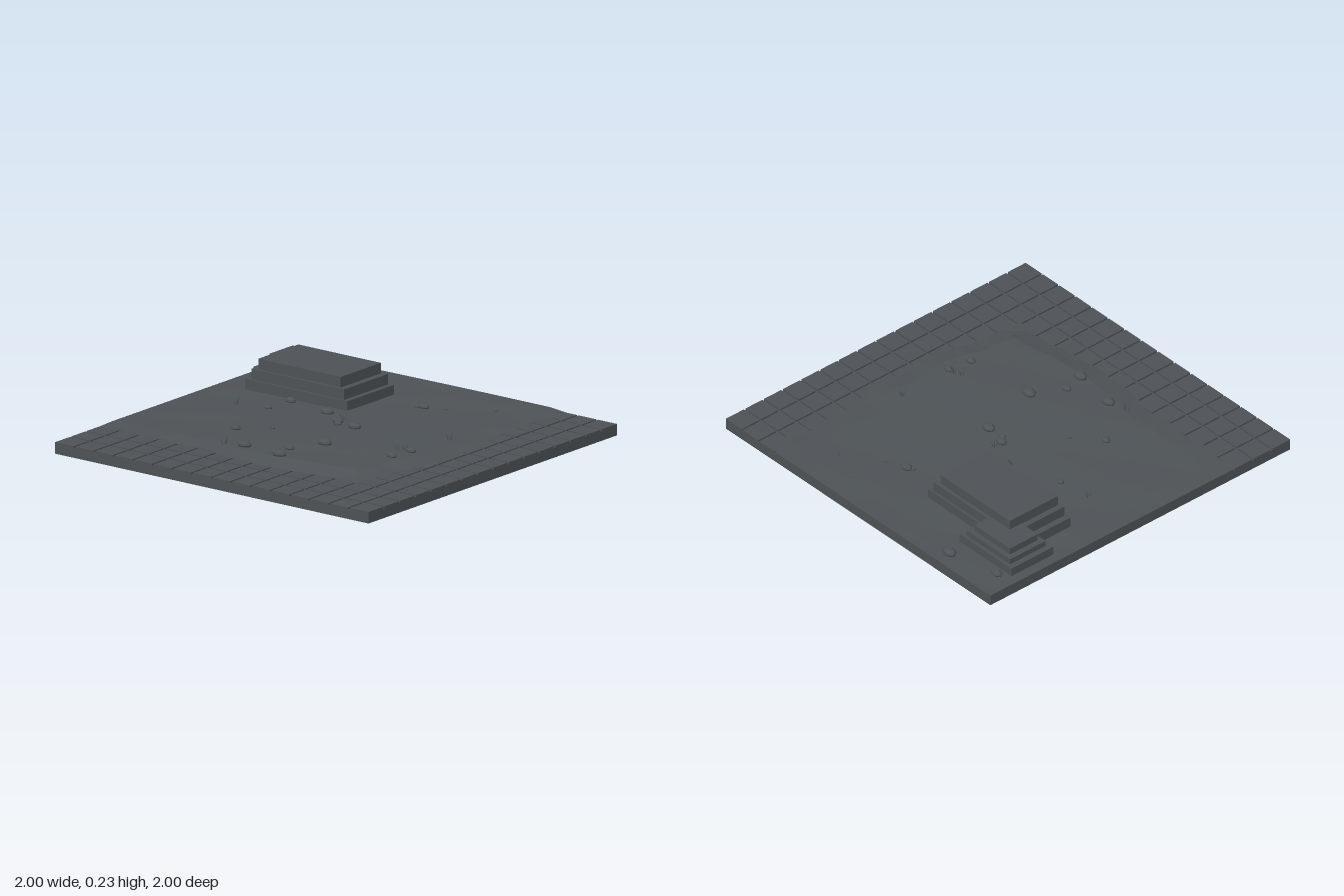
import * as THREE from 'three';

const stone = new THREE.MeshStandardMaterial({ color: 0x4d5256, flatShading: true });
stone.name = 'darkSlate';

function seeded(seed) {
  return () => {
    seed = (seed * 16807) % 2147483647;
    return seed / 2147483647;
  };
}
const rand = seeded(421);
const smooth = THREE.MathUtils.smoothstep;

// Outer limits of the worn ground, where it spills over the paving
const edgeX = z => 0.65 + 0.07 * smooth(z, -0.55, -0.2) * (1 - smooth(z, 0.22, 0.38))
  + 0.04 * (1 - smooth(z, -0.92, -0.8)) + 0.015 * Math.sin(z * 19);
const edgeZ = x => 0.635 + 0.04 * smooth(x, -0.35, -0.1) * (1 - smooth(x, 0.2, 0.4))
  + 0.01 * Math.sin(x * 23);

// Gentle mound, highest towards the front right
function groundHeight(x, z) {
  const rise = 0.003 + 0.021 * smooth(x, -1, 0.3) * (0.3 + 0.7 * smooth(z, -0.7, 0.35));
  const ripple = 0.002 * Math.sin(x * 9 + z * 4) * Math.sin(z * 8 - x * 3);
  const drop = smooth(edgeX(z) - x, 0, 0.12) * smooth(edgeZ(x) - z, 0, 0.12);
  const rim = smooth(x, -1, -0.85) * smooth(z, -1, -0.85);
  return 0.0605 + rise * drop + ripple * drop * rim;
}

function box(parent, name, x0, x1, y0, y1, z0, z1) {
  const mesh = new THREE.Mesh(new THREE.BoxGeometry(x1 - x0, y1 - y0, z1 - z0), stone);
  mesh.position.set((x0 + x1) / 2, (y0 + y1) / 2, (z0 + z1) / 2);
  mesh.name = name;
  parent.add(mesh);
}

function makeGround() {
  const geo = new THREE.PlaneGeometry(1, 1, 30, 30).rotateX(-Math.PI / 2);
  const p = geo.attributes.position;
  for (let i = 0; i < p.count; i++) {
    const u = p.getX(i) + 0.5, v = p.getZ(i) + 0.5;
    let x = -1 + 1.64 * u, z = -1 + 1.64 * v;
    const ex = edgeX(z), ez = edgeZ(x);
    x = -1 + (ex + 1) * u;
    z = -1 + (ez + 1) * v;
    const y = u === 1 || v === 1 ? 0.0595 : groundHeight(x, z);
    p.setXYZ(i, x, y, z);
  }
  geo.computeVertexNormals();
  const mesh = new THREE.Mesh(geo, stone);
  mesh.name = 'ground';
  return mesh;
}

// L-shaped border of square paving slabs, three deep
function makePaving() {
  const group = new THREE.Group();
  group.name = 'paving';
  const s = 0.125, g = 0.006;
  for (let i = 0; i < 16; i++) {
    for (let j = 0; j < 16; j++) {
      if (i < 13 && j < 13) continue;
      const x = -1 + i * s, z = -1 + j * s;
      box(group, 'pavingSlab',
        i === 0 ? x : x + g, i === 15 ? x + s : x + s - g, 0.048, 0.06,
        j === 0 ? z : z + g, j === 15 ? z + s : z + s - g);
    }
  }
  return group;
}

// Two overlapping stepped platforms: [x0, x1, top, z0, z1]
function makePlatforms() {
  const group = new THREE.Group();
  group.name = 'steppedPlatforms';
  const steps = [
    [-0.83, -0.178, 0.12, -0.69, -0.315],
    [-0.797, -0.206, 0.175, -0.68, -0.326],
    [-0.765, -0.24, 0.23, -0.663, -0.34],
    [-0.95, -0.557, 0.11, -0.815, -0.535],
    [-0.918, -0.59, 0.141, -0.797, -0.56],
    [-0.887, -0.62, 0.178, -0.77, -0.585],
  ];
  for (const [x0, x1, top, z0, z1] of steps) box(group, 'platformStep', x0, x1, 0.05, top, z0, z1);
  return group;
}

// Low rounded pebbles: [x, z, radius]
function makePebbles() {
  const group = new THREE.Group();
  group.name = 'pebbles';
  const spots = [
    [-0.6, -0.92, 0.042], [-0.89, -0.86, 0.032], [0.08, -0.605, 0.033], [0.05, -0.59, 0.015],
    [0.19, -0.65, 0.013], [0.4, -0.78, 0.013], [-0.51, -0.28, 0.031], [-0.52, -0.11, 0.022],
    [-0.23, -0.22, 0.039], [-0.08, -0.115, 0.032], [-0.05, -0.08, 0.021], [0.05, -0.085, 0.04],
    [0.55, 0.09, 0.029], [0.53, 0.22, 0.029], [0.13, 0.255, 0.041], [-0.41, 0.29, 0.028],
    [-0.27, 0.17, 0.015], [0.04, 0.425, 0.029], [-0.18, 0.51, 0.041], [0.07, 0.545, 0.041],
  ];
  const profile = [[0, -0.35], [0.8, -0.25], [1, 0.1], [0.9, 0.35], [0.5, 0.6], [0, 0.62]]
    .map(([r, y]) => new THREE.Vector2(r, y));
  const geo = new THREE.LatheGeometry(profile, 10);
  for (const [x, z, r] of spots) {
    const pebble = new THREE.Mesh(geo, stone);
    pebble.name = 'pebble';
    pebble.scale.set(r, r, r * 0.72);
    pebble.position.set(x, groundHeight(x, z) + r * 0.1, z);
    group.add(pebble);
  }
  return group;
}

// Sparse tufts of thin pointed blades
function makeGrass() {
  const group = new THREE.Group();
  group.name = 'grass';
  const tufts = [[-0.7, -0.08], [-0.08, -0.16], [0.55, -0.22], [0.475, 0.11], [0.51, 0.09], [-0.285, 0.54]];
  for (const [x, z] of tufts) {
    const tuft = new THREE.Group();
    tuft.name = 'grassTuft';
    tuft.position.set(x, groundHeight(x, z) - 0.003, z);
    for (let i = 0; i < 5; i++) {
      const h = 0.035 + 0.02 * rand();
      const blade = new THREE.Mesh(new THREE.ConeGeometry(0.0035, h, 4).translate(0, h / 2, 0), stone);
      blade.name = 'grassBlade';
      const a = i * 1.257 + rand();
      blade.position.set(0.008 * Math.cos(a), 0, 0.008 * Math.sin(a));
      blade.rotation.set(0.25 * Math.sin(a), 0, -0.25 * Math.cos(a));
      tuft.add(blade);
    }
    group.add(tuft);
  }
  return group;
}

export function createModel() {
  const model = new THREE.Group();
  model.name = 'courtyardTile';
  box(model, 'baseSlab', -1, 1, 0, 0.05, -1, 1);
  box(model, 'groundBed', -1, 0.62, 0.045, 0.059, -1, 0.62);
  model.add(makeGround(), makePaving(), makePlatforms(), makePebbles(), makeGrass());
  return model;
}
